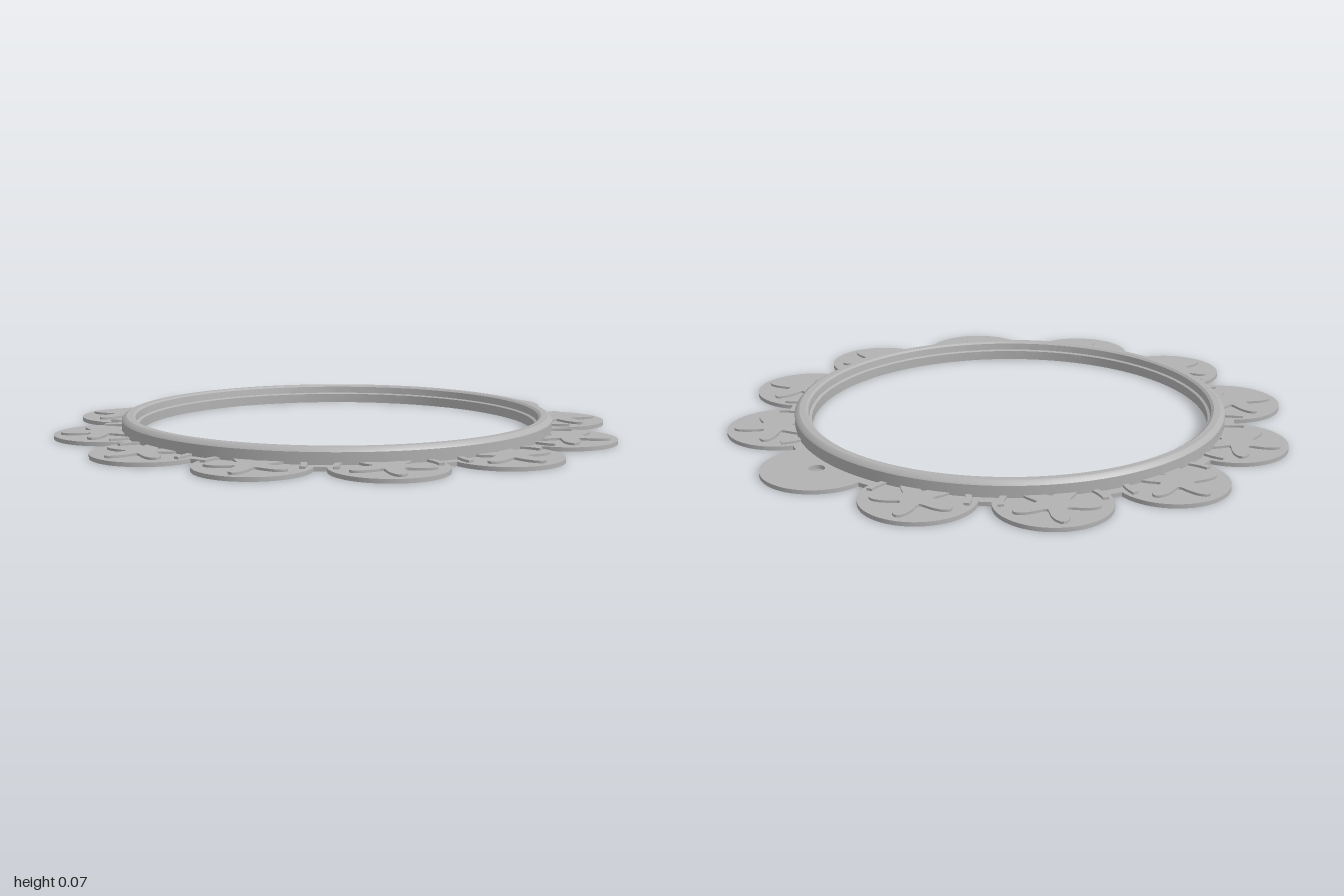
import * as THREE from 'three';
import { toCreasedNormals } from 'three/addons/utils/BufferGeometryUtils.js';

const PETALS = 12, DISC_R = 0.80, PETAL_DIST = 0.81, PETAL_R = 0.19;
const INNER_R = 0.705, PLATE_H = 0.014, RELIEF_H = 0.008;

const grey = new THREE.MeshStandardMaterial({ color: 0xb2b2b2 });
grey.name = 'plainGrey';

const polar = (r, a, cx = 0, cy = 0) => new THREE.Vector2(cx + r * Math.cos(a), cy + r * Math.sin(a));

const circleHole = (r, x, y) => new THREE.Path().absarc(x, y, r, 0, Math.PI * 2, true);

// Extrudes a plan shape upwards from height y
function slab(name, shape, height, y, curveSegments = 8) {
  const geo = new THREE.ExtrudeGeometry(shape, { depth: height, bevelEnabled: false, curveSegments });
  geo.rotateX(-Math.PI / 2).translate(0, y, 0);
  const mesh = new THREE.Mesh(toCreasedNormals(geo, 0.6), grey);
  mesh.name = name;
  return mesh;
}

// Disc joined with twelve round petals, open in the middle
function plateShape() {
  const a = Math.acos((DISC_R ** 2 + PETAL_DIST ** 2 - PETAL_R ** 2) / (2 * DISC_R * PETAL_DIST));
  const sweep = Math.atan2(DISC_R * Math.sin(a), DISC_R * Math.cos(a) - PETAL_DIST);
  const points = [];
  for (let i = 0; i < PETALS; i++) {
    const t = (i / PETALS) * Math.PI * 2;
    const c = polar(PETAL_DIST, t);
    for (let k = 0; k <= 32; k++) {
      points.push(polar(PETAL_R, t + sweep * (k / 16 - 1), c.x, c.y));
    }
    points.push(polar(DISC_R, t + Math.PI / PETALS));
  }
  const shape = new THREE.Shape(points);
  shape.holes.push(new THREE.Path().setFromPoints(
    Array.from({ length: 128 }, (_, k) => polar(INNER_R, (-k / 128) * Math.PI * 2))));
  // hanging hole in the rear petal and three small pin holes under the rim
  shape.holes.push(circleHole(0.028, 0, 0.815));
  for (let k = 0; k < 3; k++) {
    const p = polar(0.74, Math.PI / 2 + (k * Math.PI * 2) / 3);
    shape.holes.push(circleHole(0.011, p.x, p.y));
  }
  return shape;
}

// Five-armed blossom with rounded arms, one arm pointing outwards
function blossomShape() {
  const points = [];
  for (let k = 0; k < 80; k++) {
    const a = (k / 80) * Math.PI * 2;
    const lobe = 0.5 + 0.5 * Math.cos(5 * a);
    points.push(polar(0.055 + 0.09 * lobe ** 1.2, a));
  }
  return new THREE.Shape(points);
}

// Short curved bar following the flank of a petal
function flankShape(from, to) {
  const shape = new THREE.Shape();
  shape.absarc(0, 0, 0.175, from, to, false);
  shape.absarc(0, 0, 0.155, to, from, true);
  return shape;
}

export function createModel() {
  const model = new THREE.Group();
  model.name = 'flowerFrame';

  model.add(slab('petalPlate', plateShape(), PLATE_H, 0));

  // Raised rim with bevelled top and inner step
  const profile = [
    [0.765, PLATE_H], [0.765, 0.054], [0.759, 0.062], [0.748, 0.068], [0.726, 0.068],
    [0.717, 0.062], [0.714, 0.038], [INNER_R, 0.034], [INNER_R, PLATE_H],
  ].map(([r, y]) => new THREE.Vector2(r, y));
  const rim = new THREE.Mesh(toCreasedNormals(new THREE.LatheGeometry(profile, 128), 0.45), grey);
  rim.name = 'rim';
  model.add(rim);

  // Relief on every petal but the rear one
  for (let i = 0; i < PETALS; i++) {
    if (i === 3) continue;
    const relief = new THREE.Group();
    relief.name = 'petalRelief';
    const t = (i / PETALS) * Math.PI * 2;
    relief.position.set(PETAL_DIST + 0.02, 0, 0).applyAxisAngle(new THREE.Vector3(0, 1, 0), t);
    relief.rotation.y = t;
    relief.add(slab('blossom', blossomShape(), RELIEF_H, PLATE_H));
    relief.add(slab('leftFlank', flankShape(1.65, 2.1), RELIEF_H, PLATE_H));
    relief.add(slab('rightFlank', flankShape(-2.1, -1.65), RELIEF_H, PLATE_H));
    model.add(relief);
  }
  return model;
}
